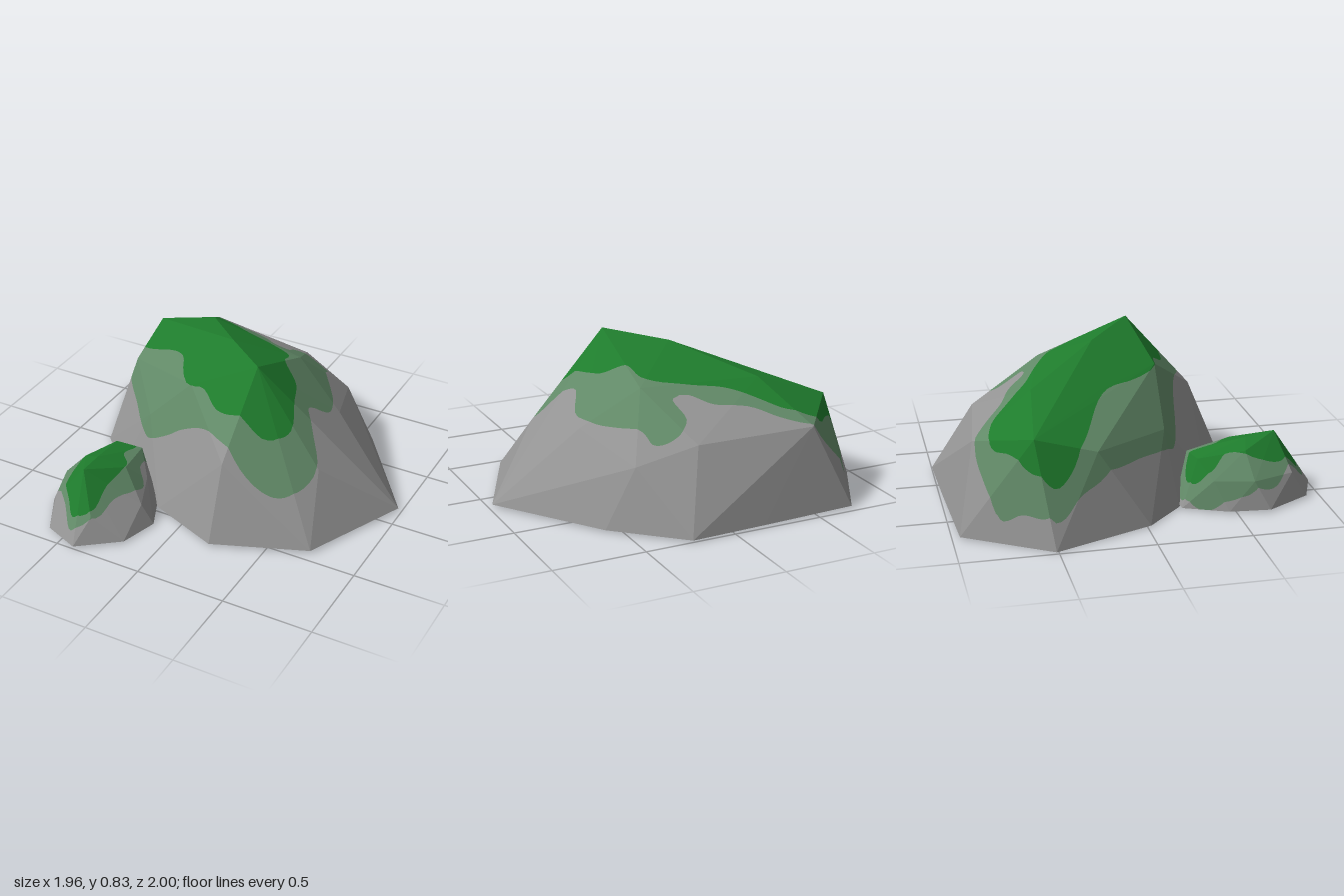
import * as THREE from 'three';
import { ConvexGeometry } from 'three/addons/geometries/ConvexGeometry.js';

const stone = new THREE.MeshStandardMaterial({ name: 'stone grey', color: 0x949494, flatShading: true });
const thinMoss = new THREE.MeshStandardMaterial({ name: 'thin moss', color: 0x628a68, flatShading: true });
const moss = new THREE.MeshStandardMaterial({ name: 'moss green', color: 0x1f7d2d, flatShading: true });

const STEPS = 12; // facet subdivision used to cut the moss edges

// Corners of the big boulder
const boulderCorners = [
  // foot
  [-0.72, 0.01, -0.96], [-0.18, 0.01, -0.985], [0.24, 0.01, -1], [0.58, 0.01, -0.69],
  [0.98, 0.015, -0.13], [0.72, 0.015, 0.44], [0.22, 0.015, 0.64], [-0.18, 0.01, 0.48],
  [-0.58, 0.005, 0.22], [-0.78, 0.005, 0.02], [-0.98, 0, -0.51],
  // flanks
  [-0.53, 0.45, -0.86], [0.1, 0.42, -0.78], [0.41, 0.32, -0.69], [0.54, 0.42, -0.28],
  [0.63, 0.34, 0.17], [0.21, 0.42, 0.47], [-0.4, 0.38, 0.18], [-0.74, 0.42, -0.25],
  // crest
  [-0.76, 0.52, -0.58], [-0.38, 0.65, -0.53], [-0.38, 0.62, -0.17], [-0.13, 0.66, 0.19],
  [-0.05, 0.79, -0.14], [0.23, 0.83, 0.11], [0.24, 0.63, -0.39],
];
// Moss outlines as seen from above: [x, z]
const boulderThin = [
  [-0.55, -0.85], [-0.39, -0.77], [-0.26, -0.67], [-0.08, -0.6], [0.03, -0.5], [0.11, -0.5],
  [0.09, -0.63], [0.16, -0.69], [0.29, -0.66], [0.31, -0.58], [0.4, -0.45], [0.48, -0.32],
  [0.52, -0.18], [0.46, -0.05], [0.53, 0.05], [0.62, 0.17], [0.58, 0.32], [0.48, 0.41],
  [0.32, 0.435], [0.16, 0.39], [0, 0.33], [-0.13, 0.3], [-0.25, 0.28], [-0.4, 0.23],
  [-0.6, 0], [-0.76, -0.2], [-0.84, -0.35], [-0.92, -0.5], [-0.84, -0.66], [-0.79, -0.77], [-0.66, -0.83],
];
const boulderMoss = [
  [-0.61, -0.78], [-0.45, -0.74], [-0.31, -0.63], [-0.18, -0.53], [0, -0.45], [0.2, -0.33],
  [0.23, -0.21], [0.35, -0.11], [0.41, 0.03], [0.46, 0.17], [0.37, 0.28], [0.24, 0.29],
  [0.08, 0.28], [-0.05, 0.2], [-0.14, 0.19], [-0.26, 0.05], [-0.35, -0.11], [-0.45, -0.19],
  [-0.68, -0.3], [-0.79, -0.38], [-0.85, -0.5], [-0.79, -0.62], [-0.7, -0.7],
];

// Corners and moss outlines of the small rock
const smallCorners = [
  [-0.61, 0.01, 0.23], [-0.5, 0.01, 0.22], [-0.38, 0.01, 0.28], [-0.22, 0.01, 0.42], [-0.13, 0.01, 0.62],
  [-0.19, 0.01, 0.83], [-0.4, 0.015, 1], [-0.6, 0.015, 0.92], [-0.73, 0.01, 0.68], [-0.71, 0.01, 0.46],
  [-0.64, 0.16, 0.39], [-0.69, 0.16, 0.6], [-0.61, 0.16, 0.83], [-0.35, 0.15, 0.89],
  [-0.19, 0.13, 0.64], [-0.26, 0.17, 0.46], [-0.53, 0.25, 0.33], [-0.38, 0.24, 0.31],
  [-0.57, 0.29, 0.58], [-0.33, 0.28, 0.56], [-0.475, 0.33, 0.61], [-0.46, 0.35, 0.77],
];
const smallThin = [
  [-0.65, 0.32], [-0.58, 0.24], [-0.36, 0.28], [-0.31, 0.45], [-0.24, 0.53], [-0.25, 0.63],
  [-0.3, 0.74], [-0.33, 0.87], [-0.44, 0.95], [-0.53, 0.86], [-0.66, 0.74], [-0.7, 0.61], [-0.69, 0.45],
];
const smallMoss = [
  [-0.58, 0.29], [-0.5, 0.275], [-0.41, 0.32], [-0.41, 0.45], [-0.34, 0.53], [-0.34, 0.64], [-0.35, 0.74],
  [-0.36, 0.87], [-0.45, 0.91], [-0.51, 0.85], [-0.58, 0.77], [-0.59, 0.61], [-0.55, 0.48], [-0.6, 0.39],
];

// Signed distance to a smooth closed outline, positive inside
function outlineField(points) {
  const curve = new THREE.CatmullRomCurve3(points.map(([x, z]) => new THREE.Vector3(x, 0, z)), true);
  const line = curve.getPoints(points.length * 4);
  return (p) => {
    let best = Infinity, inside = false;
    for (let i = 0; i + 1 < line.length; i++) {
      const a = line[i], b = line[i + 1], dx = b.x - a.x, dz = b.z - a.z;
      const t = THREE.MathUtils.clamp(((p.x - a.x) * dx + (p.z - a.z) * dz) / (dx * dx + dz * dz || 1), 0, 1);
      best = Math.min(best, Math.hypot(p.x - a.x - t * dx, p.z - a.z - t * dz));
      if ((a.z > p.z) !== (b.z > p.z) && p.x < a.x + (dx * (p.z - a.z)) / dz) inside = !inside;
    }
    return inside ? best : -best;
  };
}

// Cut a polygon along the zero line of a field: [inside, outside]
function cut(poly, field) {
  const values = poly.map(field), inside = [], outside = [];
  poly.forEach((p, i) => {
    const j = (i + 1) % poly.length;
    (values[i] >= 0 ? inside : outside).push(p);
    if ((values[i] >= 0) !== (values[j] >= 0)) {
      const q = p.clone().lerp(poly[j], values[i] / (values[i] - values[j]));
      inside.push(q);
      outside.push(q);
    }
  });
  return [inside, outside];
}

function addFan(list, poly) {
  for (let i = 1; i + 1 < poly.length; i++) {
    for (const p of [poly[0], poly[i], poly[i + 1]]) list.push(p.x, p.y, p.z);
  }
}

function makeRock(name, corners, thinOutline, mossOutline) {
  const hull = new ConvexGeometry(corners.map((c) => new THREE.Vector3(...c))).getAttribute('position');
  const thinField = outlineField(thinOutline), mossField = outlineField(mossOutline);
  const bare = [], pale = [], green = [];

  const paint = (tri) => {
    const [covered, rest] = cut(tri, thinField);
    addFan(bare, rest);
    if (covered.length < 3) return;
    const [thick, thin] = cut(covered, mossField);
    addFan(green, thick);
    addFan(pale, thin);
  };

  for (let f = 0; f < hull.count; f += 3) {
    const [a, b, c] = [0, 1, 2].map((k) => new THREE.Vector3().fromBufferAttribute(hull, f + k));
    const u = b.clone().sub(a), v = c.clone().sub(a);
    // the underside stays bare
    if (u.clone().cross(v).normalize().y < -0.5) {
      addFan(bare, [a, b, c]);
      continue;
    }
    const at = (i, j) => a.clone().addScaledVector(u, i / STEPS).addScaledVector(v, j / STEPS);
    for (let i = 0; i < STEPS; i++) {
      for (let j = 0; i + j < STEPS; j++) {
        paint([at(i, j), at(i + 1, j), at(i, j + 1)]);
        if (i + j < STEPS - 1) paint([at(i + 1, j), at(i + 1, j + 1), at(i, j + 1)]);
      }
    }
  }

  const rock = new THREE.Group();
  rock.name = name;
  for (const [part, data, material] of [['Stone', bare, stone], ['ThinMoss', pale, thinMoss], ['Moss', green, moss]]) {
    const geometry = new THREE.BufferGeometry();
    geometry.setAttribute('position', new THREE.Float32BufferAttribute(data, 3));
    geometry.computeVertexNormals();
    const mesh = new THREE.Mesh(geometry, material);
    mesh.name = name + part;
    rock.add(mesh);
  }
  return rock;
}

export function createModel() {
  const model = new THREE.Group();
  model.name = 'mossyRocks';
  model.add(makeRock('boulder', boulderCorners, boulderThin, boulderMoss));
  model.add(makeRock('smallRock', smallCorners, smallThin, smallMoss));
  return model;
}
